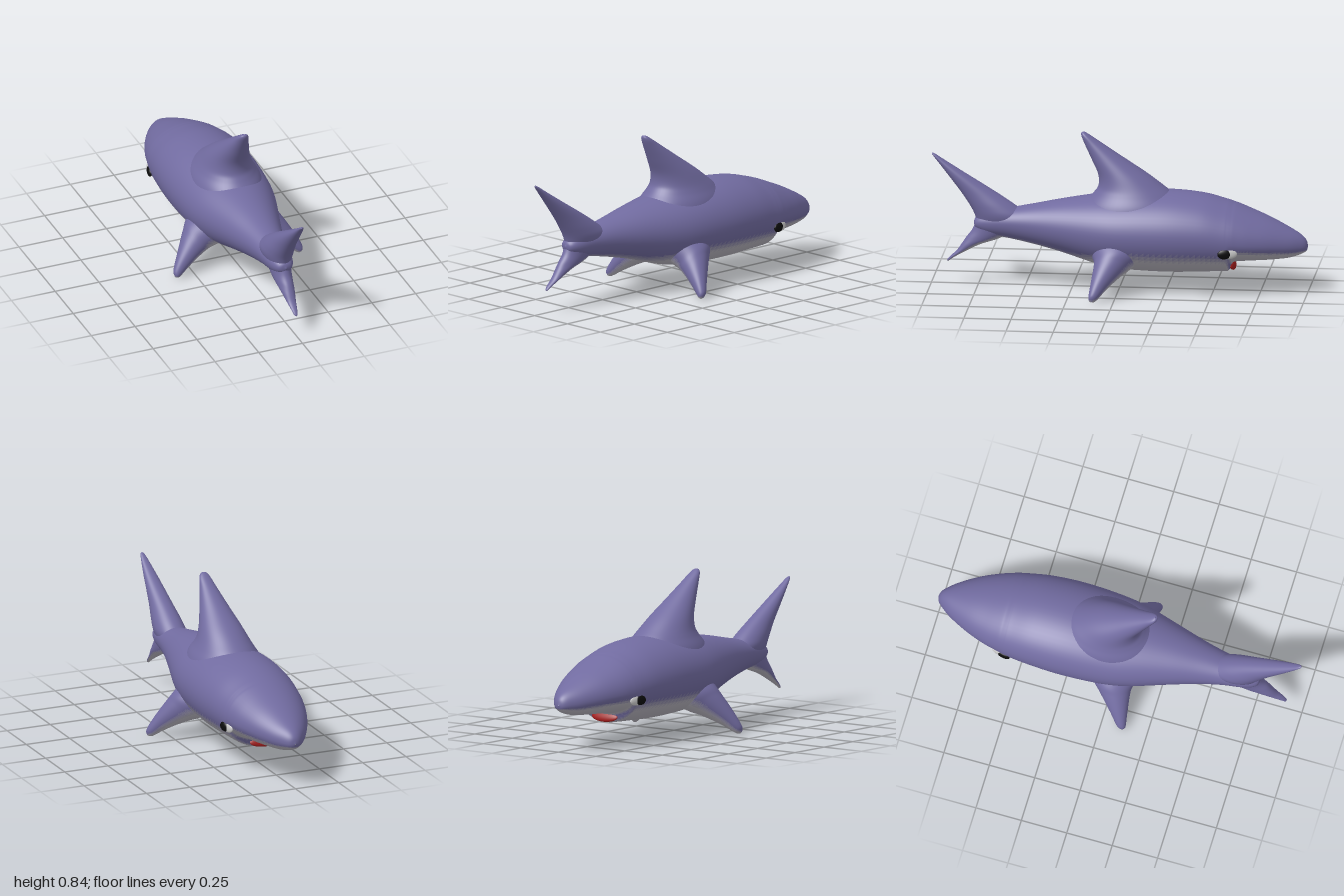
import * as THREE from 'three';

const BACK = new THREE.Color(0x716ba0), BELLY = new THREE.Color(0xb4b1bb);
const SIDES = 56;

const material = color => new THREE.MeshStandardMaterial({ color, roughness: 0.8 });

// Smoothly resample rows of section values
function resample(rows, steps) {
  const size = rows[0].length;
  const curve = new THREE.CubicInterpolant(rows.map((_, i) => i), rows.flat(), size, new Float32Array(size));
  const count = (rows.length - 1) * steps;
  return Array.from({ length: count + 1 }, (_, i) => Array.from(curve.evaluate(i / steps)));
}

// Closed tube through sections; point(row, cos, sin) places each ring vertex
function loft(rows, steps, point) {
  const positions = [], index = [];
  const rings = resample(rows, steps);
  rings.forEach((row, i) => {
    for (let j = 0; j < SIDES; j++) {
      const t = (j / SIDES) * Math.PI * 2;
      positions.push(...point(row, Math.cos(t), Math.sin(t)));
      if (i === rings.length - 1) continue;
      const a = i * SIDES + j, b = i * SIDES + (j + 1) % SIDES;
      index.push(a, b, a + SIDES, b, b + SIDES, a + SIDES);
    }
  });
  const geometry = new THREE.BufferGeometry();
  geometry.setAttribute('position', new THREE.Float32BufferAttribute(positions, 3));
  geometry.setIndex(index);
  geometry.computeVertexNormals();
  return geometry;
}

// Split a surface into colour bands, paleness(normal, position) running 0 to 1
function banded(name, geometry, paleness, bands = 6) {
  const group = new THREE.Group();
  group.name = name;
  const lists = Array.from({ length: bands }, () => []);
  const { position, normal } = geometry.attributes, idx = geometry.index.array;
  const p = new THREE.Vector3(), n = new THREE.Vector3(), v = new THREE.Vector3();
  for (let i = 0; i < idx.length; i += 3) {
    p.set(0, 0, 0);
    n.set(0, 0, 0);
    for (let k = 0; k < 3; k++) {
      p.add(v.fromBufferAttribute(position, idx[i + k]));
      n.add(v.fromBufferAttribute(normal, idx[i + k]));
    }
    const t = THREE.MathUtils.clamp(paleness(n.normalize(), p.divideScalar(3)), 0, 1);
    lists[Math.round(t * (bands - 1))].push(idx[i], idx[i + 1], idx[i + 2]);
  }
  lists.forEach((list, b) => {
    if (!list.length) return;
    const part = new THREE.BufferGeometry();
    part.setAttribute('position', position);
    part.setAttribute('normal', normal);
    part.setIndex(list);
    const mesh = new THREE.Mesh(part, material(BACK.clone().lerp(BELLY, b / (bands - 1))));
    mesh.name = `${name}Band${b}`;
    group.add(mesh);
  });
  return group;
}

// Upright fin from horizontal sections: [y, front z, rear z, half width]
function uprightFin(rows) {
  const s = rows[1][0] > rows[0][0] ? -1 : 1;
  return loft(rows, 6, ([y, f, r, w], c, sn) => [c * w, y, (f + r) / 2 + s * sn * (r - f) / 2]);
}

function ellipsoid(name, color, position, scale) {
  const mesh = new THREE.Mesh(new THREE.SphereGeometry(1, 28, 18), material(color));
  mesh.name = name;
  mesh.position.set(...position);
  mesh.scale.set(...scale);
  return mesh;
}

export function createModel() {
  const model = new THREE.Group();
  model.name = 'shark';

  // Body sections, nose to tail: [z, top, widest height, bottom, half width]
  const body = loft([
    [-1.0, 0.252, 0.25, 0.248, 0.002],
    [-0.99, 0.285, 0.25, 0.225, 0.03],
    [-0.96, 0.315, 0.255, 0.208, 0.06],
    [-0.9, 0.35, 0.265, 0.19, 0.104],
    [-0.8, 0.4, 0.28, 0.18, 0.158],
    [-0.7, 0.442, 0.29, 0.175, 0.198],
    [-0.63, 0.47, 0.298, 0.17, 0.218],
    [-0.605, 0.478, 0.3, 0.16, 0.224],
    [-0.585, 0.485, 0.3, 0.118, 0.228],
    [-0.56, 0.492, 0.303, 0.113, 0.232],
    [-0.45, 0.52, 0.315, 0.108, 0.247],
    [-0.3, 0.535, 0.32, 0.102, 0.256],
    [-0.15, 0.533, 0.32, 0.104, 0.253],
    [0.0, 0.52, 0.32, 0.113, 0.24],
    [0.12, 0.505, 0.325, 0.135, 0.215],
    [0.3, 0.475, 0.335, 0.19, 0.16],
    [0.45, 0.445, 0.342, 0.228, 0.115],
    [0.58, 0.42, 0.345, 0.255, 0.085],
    [0.7, 0.4, 0.342, 0.275, 0.066],
    [0.76, 0.37, 0.338, 0.305, 0.04],
    [0.775, 0.342, 0.338, 0.334, 0.002],
  ], 5, ([z, top, mid, bottom, w], c, s) => [c * w, mid + s * (s > 0 ? top - mid : mid - bottom), z]);
  model.add(banded('body', body, (n, p) => {
    const line = THREE.MathUtils.lerp(-0.42, -0.75, THREE.MathUtils.smoothstep(p.z, 0, 0.3));
    return (line - n.y) / 0.25;
  }));

  // Dorsal fin, flared into the back
  const dorsal = new THREE.Mesh(uprightFin([
    [0.4, -0.36, 0.22, 0.2],
    [0.47, -0.33, 0.18, 0.178],
    [0.52, -0.28, 0.135, 0.15],
    [0.56, -0.23, 0.112, 0.13],
    [0.62, -0.15, 0.115, 0.106],
    [0.7, -0.03, 0.15, 0.074],
    [0.78, 0.09, 0.187, 0.044],
    [0.82, 0.15, 0.203, 0.03],
    [0.838, 0.178, 0.204, 0.017],
    [0.844, 0.191, 0.194, 0.002],
  ]), material(BACK));
  dorsal.name = 'dorsalFin';
  model.add(dorsal);

  // Tail lobes
  const upperTail = new THREE.Mesh(uprightFin([
    [0.32, 0.48, 0.755, 0.06],
    [0.38, 0.49, 0.77, 0.078],
    [0.43, 0.55, 0.795, 0.074],
    [0.5, 0.655, 0.842, 0.058],
    [0.6, 0.818, 0.918, 0.038],
    [0.67, 0.93, 0.973, 0.021],
    [0.7, 0.976, 0.996, 0.011],
    [0.709, 0.994, 0.997, 0.001],
  ]), material(BACK));
  upperTail.name = 'upperTailLobe';
  model.add(upperTail);

  const lowerTail = uprightFin([
    [0.37, 0.56, 0.755, 0.06],
    [0.3, 0.58, 0.782, 0.054],
    [0.255, 0.635, 0.815, 0.047],
    [0.22, 0.735, 0.838, 0.038],
    [0.18, 0.815, 0.866, 0.026],
    [0.145, 0.876, 0.903, 0.015],
    [0.127, 0.902, 0.916, 0.009],
    [0.12, 0.91, 0.913, 0.001],
  ]);
  model.add(banded('lowerTailLobe', lowerTail, n => (-0.35 - n.y) / 0.4));

  // Pectoral fins: [x, y, z, half chord, half thickness]
  const pectoral = loft([
    [0.1, 0.235, 0.0, 0.16, 0.11],
    [0.18, 0.185, 0.01, 0.11, 0.094],
    [0.22, 0.155, 0.03, 0.087, 0.078],
    [0.262, 0.118, 0.055, 0.066, 0.061],
    [0.31, 0.07, 0.084, 0.043, 0.042],
    [0.343, 0.032, 0.103, 0.028, 0.028],
    [0.355, 0.016, 0.11, 0.018, 0.018],
    [0.361, 0.008, 0.112, 0.002, 0.002],
  ], 6, ([x, y, z, ch, th], c, s) => [x + c * th * 0.65, y + c * th * 0.76, z + s * ch]);

  for (const [side, sx] of [['left', 1], ['right', -1]]) {
    const fin = banded(`${side}PectoralFin`, pectoral, n => (-0.2 - n.y) / 0.4);
    fin.scale.x = sx;
    model.add(fin);

    // Eyes lie flush on the head
    const eye = new THREE.Group();
    eye.name = `${side}Eye`;
    eye.add(
      ellipsoid('eyeWhite', 0xd8d8d4, [0, 0, -0.022], [0.012, 0.027, 0.043]),
      ellipsoid('pupil', 0x0c0c0c, [0.005, 0, 0.004], [0.013, 0.026, 0.036]),
    );
    eye.position.set(sx * 0.217, 0.25, -0.58);
    eye.rotation.set(0, sx * 0.18, 0);
    eye.scale.x = sx;
    model.add(eye);
  }

  // Mouth under the snout, in front of the lower jaw
  const mouth = ellipsoid('mouth', 0xa01c1c, [0, 0.147, -0.598], [0.085, 0.031, 0.014]);
  mouth.rotation.x = 0.5;
  model.add(mouth);

  return model;
}
